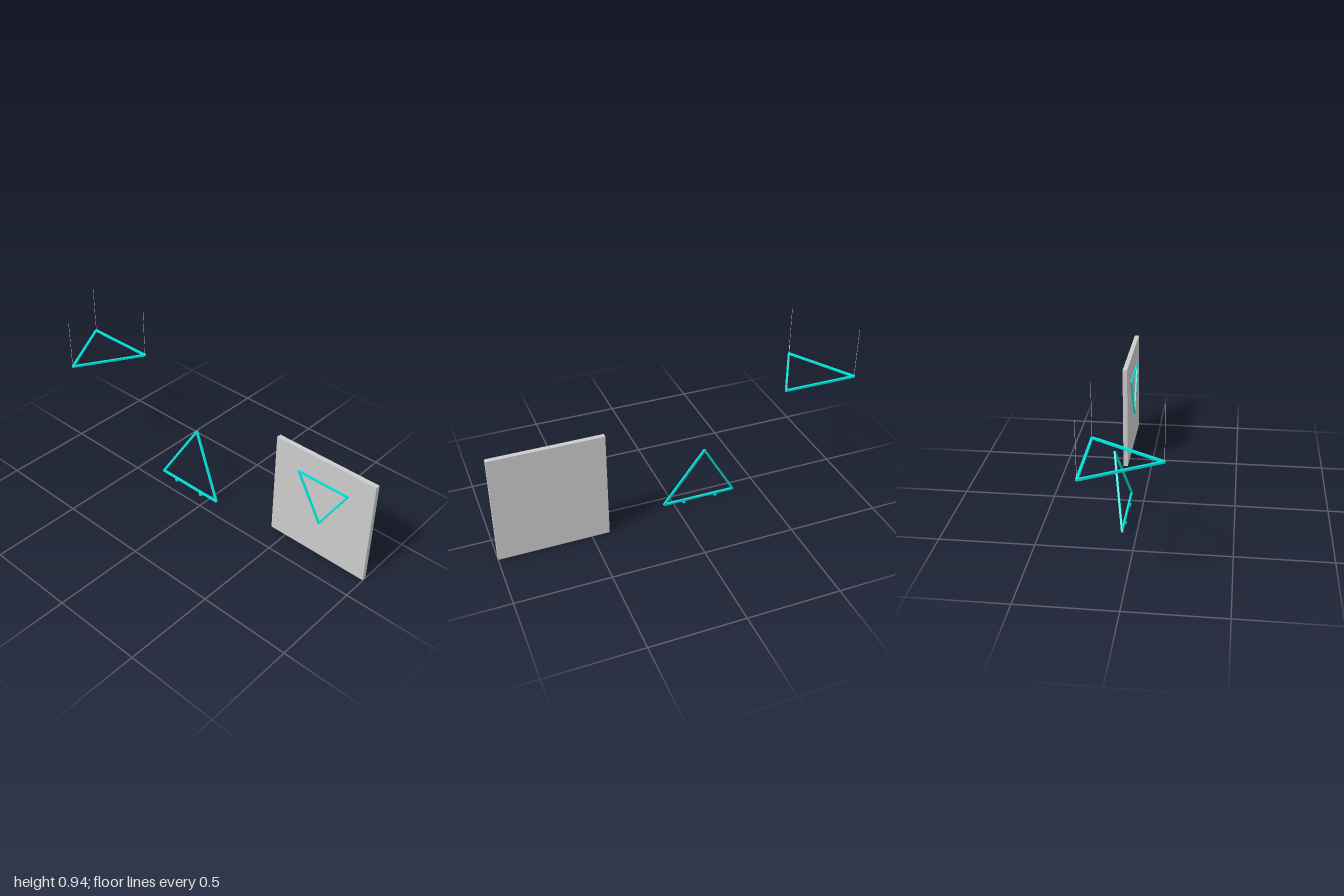
import * as THREE from 'three';

const cyan = new THREE.MeshStandardMaterial({ color: 0x00e5dc });
const grey = new THREE.MeshStandardMaterial({ color: 0xcccccc });

const BAR = 0.012, DEPTH = 0.0105;

function addMesh(parent, name, geometry, material, x, y, z) {
  const mesh = new THREE.Mesh(geometry, material);
  mesh.name = name;
  mesh.position.set(x, y, z);
  parent.add(mesh);
  return mesh;
}

// Equilateral frame of three square bars: base along x at y = 0, apex at +y
function triangleFrame(name, side, bar = BAR, depth = DEPTH) {
  const frame = new THREE.Group();
  frame.name = name;
  const h = side * Math.sqrt(3) / 2;
  const corners = [[-side / 2, 0], [side / 2, 0], [0, h]];
  corners.forEach(([ax, ay], i) => {
    const [bx, by] = corners[(i + 1) % 3];
    const mesh = addMesh(frame, 'frameBar', new THREE.BoxGeometry(side + 0.005, bar, depth),
      cyan, (ax + bx) / 2, (ay + by) / 2, 0);
    mesh.rotation.z = Math.atan2(by - ay, bx - ax);
  });
  return frame;
}

export function createModel() {
  const model = new THREE.Group();
  model.name = 'triangleLampDisplay';

  // Hanging lamp: horizontal frame on three wires
  const hanging = new THREE.Group();
  hanging.name = 'hangingLamp';
  const flat = triangleFrame('hangingFrame', 0.41);
  flat.rotation.x = Math.PI / 2;
  flat.position.set(-0.79, 0.66, -0.177);
  hanging.add(flat);
  const wire = new THREE.CylinderGeometry(0.001, 0.001, 0.278, 8);
  for (const [x, z] of [[-0.994, -0.177], [-0.586, -0.177], [-0.79, 0.179]]) {
    addMesh(hanging, 'suspensionWire', wire, grey, x, 0.799, z);
  }
  model.add(hanging);

  // Leaning lamp: tilted frame on two small feet
  const leaning = new THREE.Group();
  leaning.name = 'leaningLamp';
  const tilted = triangleFrame('leaningFrame', 0.41);
  tilted.rotation.x = -THREE.MathUtils.degToRad(10);
  tilted.position.set(-0.147, 0.018, -0.074);
  leaning.add(tilted);
  const foot = new THREE.CylinderGeometry(0.01, 0.01, 0.012, 16);
  for (const side of [-1, 1]) {
    addMesh(leaning, 'foot', foot, cyan, -0.153 + side * 0.094, 0.006, -0.072);
  }
  model.add(leaning);

  // Attached lamp: smaller inverted frame fixed to a wall panel
  const attached = new THREE.Group();
  attached.name = 'attachedLamp';
  addMesh(attached, 'wallPanel', new THREE.BoxGeometry(0.596, 0.607, 0.026), grey, 0.701, 0.3035, -0.152);
  const mounted = triangleFrame('attachedFrame', 0.3, 0.01, 0.009);
  mounted.rotation.z = Math.PI;
  mounted.position.set(0.705, 0.471, -0.1345);
  attached.add(mounted);
  model.add(attached);

  return model;
}
